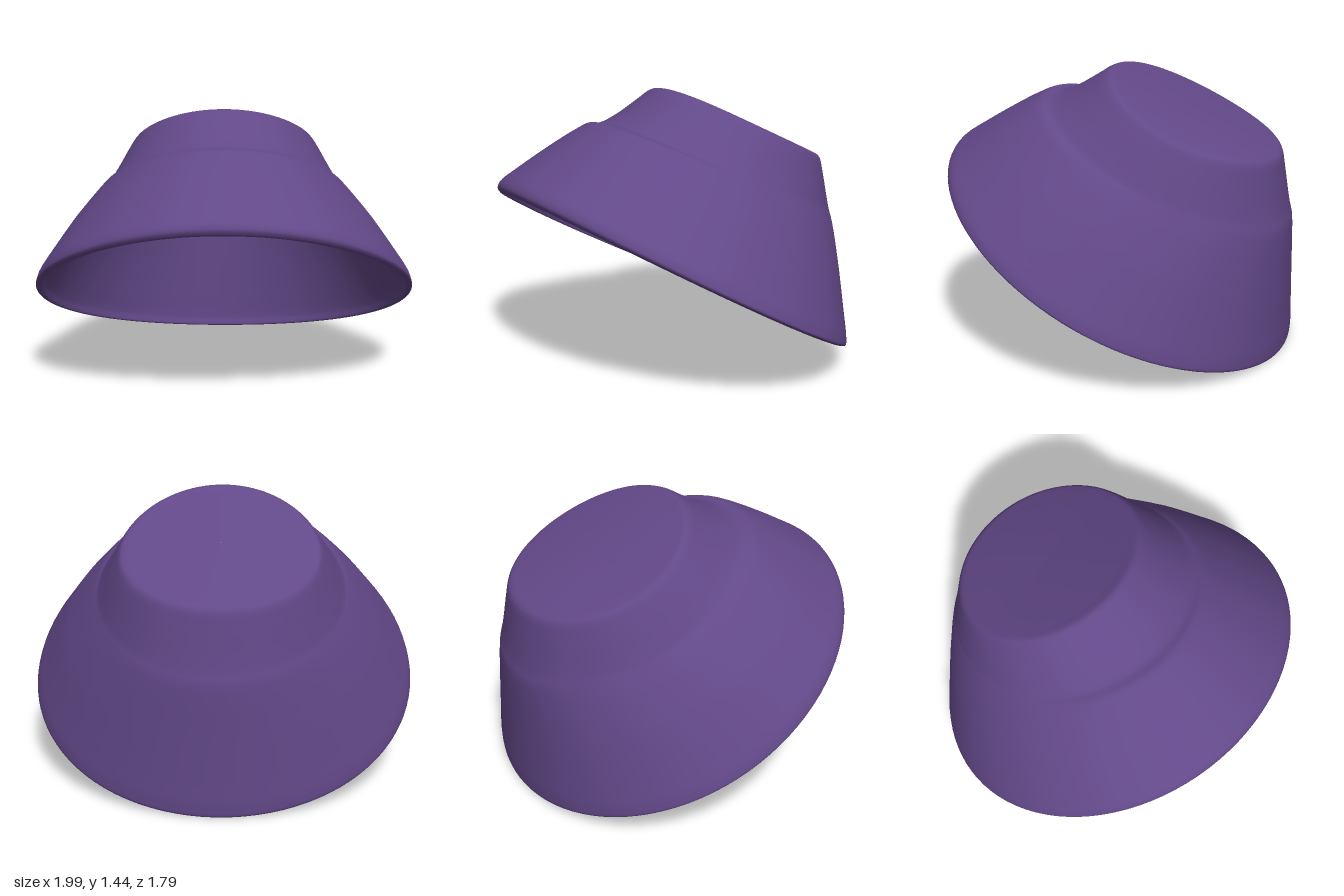
import * as THREE from 'three';

// Each ring: front z, front y, back z, back y, half width, drop at the sides
const OUTER = [
  [0.895, 0.995, -0.88, 0.005, 0.997, 0.04], // brim edge
  [0.88, 1.03, -0.888, 0.05, 0.985, 0.04],
  [0.79, 1.09, -0.889, 0.18, 0.925, 0.04],
  [0.62, 1.19, -0.89, 0.42, 0.81, 0.04],
  [0.48, 1.265, -0.892, 0.61, 0.7, 0.035],
  [0.41, 1.293, -0.89, 0.68, 0.65, 0.03], // seam between brim and crown
  [0.35, 1.287, -0.878, 0.735, 0.622, 0.03],
  [0.26, 1.318, -0.865, 0.81, 0.588, 0.03],
  [0.13, 1.392, -0.846, 0.94, 0.533, 0.035],
  [0.06, 1.435, -0.832, 1.015, 0.5, 0.04],
  [0.03, 1.442, -0.815, 1.038, 0.484, 0.04], // crown edge
  [-0.02, 1.42, -0.77, 1.062, 0.43, 0.03],
  [-0.2, 1.335, -0.6, 1.145, 0.22, 0.01],
  [-0.399, 1.24, -0.401, 1.24, 0.001, 0], // crown middle
];
const SEAM_TO_TOP = 10;

// Lining: the same rings pulled inward by the cloth thickness
const INNER = OUTER.map(([fz, fy, bz, by, w, drop], i) =>
  i < SEAM_TO_TOP
    ? [fz - 0.018, fy - 0.03, bz + 0.028, by + 0.005, w - 0.028, drop]
    : [fz - 0.02 * (w / 0.48), fy - 0.03, bz + 0.028 * (w / 0.48), by - 0.03, w * 0.94, drop]);

// Smooth closed loft through the rings
function loft(rings, steps, sides) {
  const curve = (f) => new THREE.CatmullRomCurve3(rings.map(f));
  const front = curve((r) => new THREE.Vector3(0, r[1], r[0]));
  const back = curve((r) => new THREE.Vector3(0, r[3], r[2]));
  const width = curve((r) => new THREE.Vector3(r[4], r[5], 0));
  const positions = [];
  const index = [];
  for (let j = 0; j <= steps; j++) {
    const t = j / steps;
    const f = front.getPoint(t), b = back.getPoint(t), w = width.getPoint(t);
    for (let i = 0; i < sides; i++) {
      const a = (i / sides) * Math.PI * 2;
      const s = Math.sin(a), c = Math.cos(a);
      positions.push(
        w.x * s,
        (f.y + b.y) / 2 + ((f.y - b.y) / 2) * c - w.y * s * s,
        (f.z + b.z) / 2 + ((f.z - b.z) / 2) * c);
      if (j === steps) continue;
      const p = j * sides + i, q = j * sides + ((i + 1) % sides);
      index.push(p, q, q + sides, p, q + sides, p + sides);
    }
  }
  const geometry = new THREE.BufferGeometry();
  geometry.setAttribute('position', new THREE.Float32BufferAttribute(positions, 3));
  geometry.setIndex(index);
  geometry.computeVertexNormals();
  return geometry;
}

export function createModel() {
  const group = new THREE.Group();
  group.name = 'bucketHat';
  // From the lining's middle, down around the brim edge, up to the crown's middle
  const rings = [...INNER].reverse().concat(OUTER);
  const cloth = new THREE.MeshStandardMaterial({ color: 0x624888 });
  const hat = new THREE.Mesh(loft(rings, (rings.length - 1) * 6, 96), cloth);
  hat.name = 'crownAndBrim';
  group.add(hat);
  return group;
}
